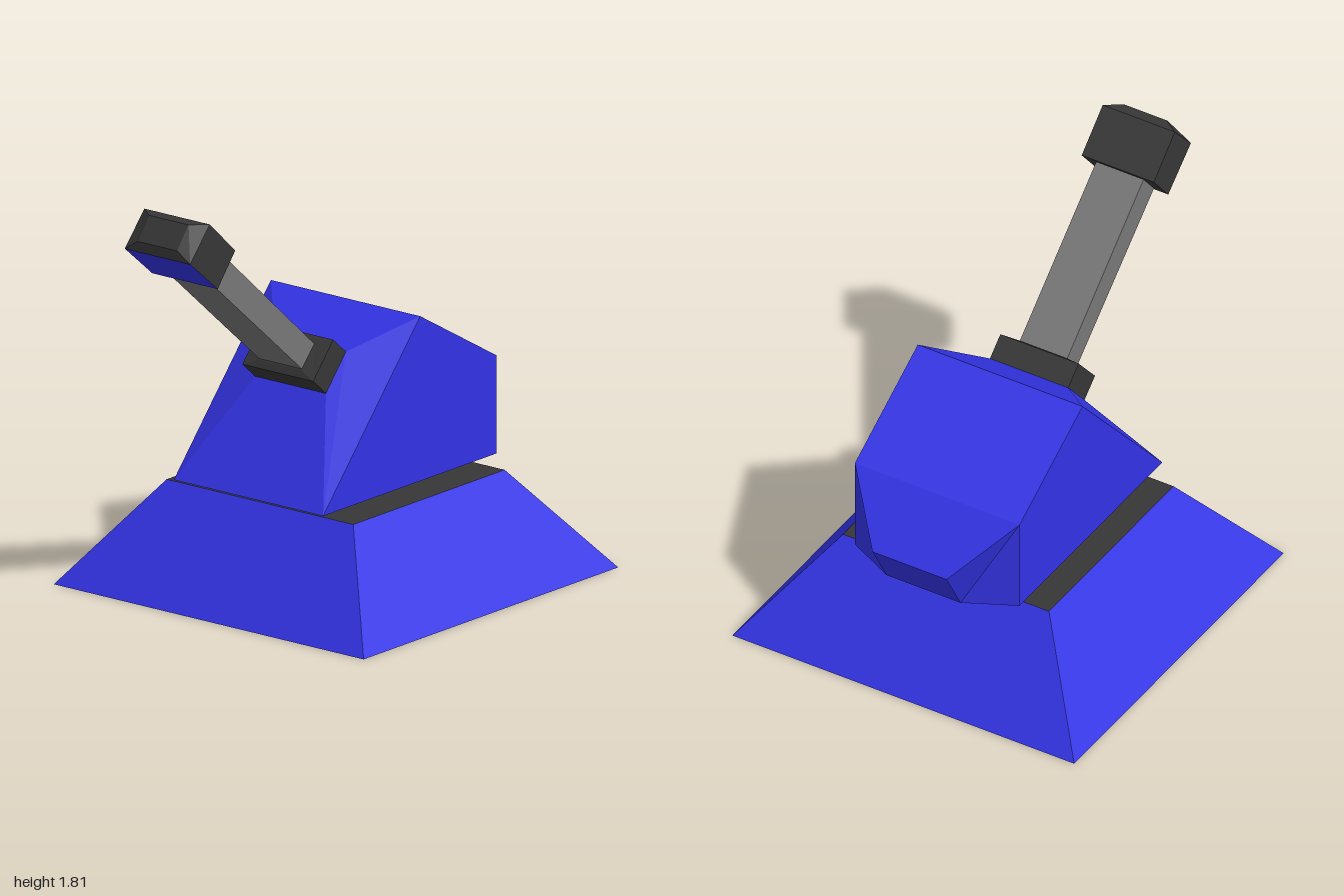
import * as THREE from 'three';

const BLUE = 0x3333e6, DARK = 0x363636, GREY = 0x777777;

// Four corners: side-profile points p and q, spread to +z and -z
const ring = (p, q, z) => [[...p, z], [...q, z], [...q, -z], [...p, -z]];
// Horizontal rectangle at height y
const rect = (x0, x1, y, z) => ring([x0, y], [x1, y], z);
const mirrorZ = (face) => face.map(([x, y, z]) => [x, y, -z]);
// The four faces joining two rings
const band = (a, b) => a.map((p, i) => [p, a[(i + 1) % 4], b[(i + 1) % 4], b[i]]);

// Flat-shaded mesh of convex polygons, every face turned away from the centre
function shell(name, color, faces, centre) {
  const c = new THREE.Vector3(...centre);
  const pos = [];
  for (const face of faces) {
    const v = face.map((p) => new THREE.Vector3(...p));
    for (let i = 1; i < v.length - 1; i++) {
      let tri = [v[0], v[i], v[i + 1]];
      const n = tri[1].clone().sub(tri[0]).cross(tri[2].clone().sub(tri[0]));
      if (n.dot(tri[0].clone().sub(c)) < 0) tri = [tri[0], tri[2], tri[1]];
      tri.forEach((p) => pos.push(p.x, p.y, p.z));
    }
  }
  const geo = new THREE.BufferGeometry();
  geo.setAttribute('position', new THREE.Float32BufferAttribute(pos, 3));
  geo.computeVertexNormals();
  const mesh = new THREE.Mesh(geo, new THREE.MeshStandardMaterial({ color, flatShading: true }));
  mesh.name = name;
  return mesh;
}

function createBase() {
  const group = new THREE.Group();
  group.name = 'base';
  const bottom = rect(-0.665, 1, 0, 0.83), top = rect(-0.33, 0.66, 0.44, 0.5);
  const centre = [0.17, 0.2, 0];
  group.add(shell('baseSlopes', BLUE, [bottom, ...band(bottom, top)], centre));
  group.add(shell('baseTop', DARK, [top], centre));
  return group;
}

function createTurret() {
  const group = new THREE.Group();
  group.name = 'turret';
  const centre = [0.25, 0.75, 0];
  const toe = [-0.405, 0.475], peak = [0.23, 1.19], heel = [0.73, 0.475], shoulder = [0.73, 0.9];
  const side = [toe, heel, shoulder, peak].map((p) => [...p, 0.4]);

  // Rear bulge: corner faces narrowing to a slanted panel
  const tail = ring([0.84, 0.475], [0.95, 0.67], 0.18);
  const rear = ring(heel, shoulder, 0.4);
  const corner = [rear[1], rear[0], tail[0], tail[1]];
  const roof = ring(shoulder, peak, 0.4);
  const rearSlope = [rear[1], rear[2], tail[2], tail[1]];

  // Gun face: tapers from the whole front to the socket
  const front = ring(toe, peak, 0.4);
  const mount = ring([-0.13, 0.9], [0, 1.05], 0.19);

  group.add(shell('turretBody', BLUE, [
    side, mirrorZ(side), corner, mirrorZ(corner), tail, roof, rearSlope,
    ...band(front, mount), mount,
  ], centre));
  const floor = [[...toe, 0.4], [...heel, 0.4], tail[0], tail[3], [...heel, -0.4], [...toe, -0.4]];
  group.add(shell('turretFloor', DARK, [floor], centre));
  return group;
}

function createGun() {
  const group = new THREE.Group();
  group.name = 'gun';

  // Socket with a slight bevel round the barrel
  const s0 = ring([-0.13, 0.9], [0, 1.05], 0.19);
  const s1 = ring([-0.213, 0.972], [-0.083, 1.122], 0.19);
  const s2 = ring([-0.2, 1.003], [-0.112, 1.1], 0.115);
  group.add(shell('barrelSocket', DARK, [s0, ...band(s0, s1), ...band(s1, s2), s2], [-0.1, 1.01, 0]));

  // Square barrel
  const b0 = ring([-0.193, 1.005], [-0.112, 1.095], 0.115);
  const b1 = ring([-0.805, 1.533], [-0.722, 1.634], 0.115);
  group.add(shell('barrel', GREY, band(b0, b1), [-0.458, 1.317, 0]));

  // Muzzle with a chamfered tip and a coloured underside
  const m0 = ring([-0.82, 1.515], [-0.705, 1.655], 0.175);
  const m1 = ring([-1, 1.665], [-0.872, 1.808], 0.175);
  const m2 = ring([-1, 1.71], [-0.925, 1.805], 0.105);
  const centre = [-0.86, 1.67, 0];
  const sides = band(m0, m1);
  const underside = sides.pop();
  group.add(shell('muzzle', DARK, [m0, ...sides, ...band(m1, m2), m2], centre));
  group.add(shell('muzzleUnderside', BLUE, [underside], centre));
  return group;
}

export function createModel() {
  const model = new THREE.Group();
  model.name = 'gunTurret';
  model.add(createBase(), createTurret(), createGun());
  return model;
}
